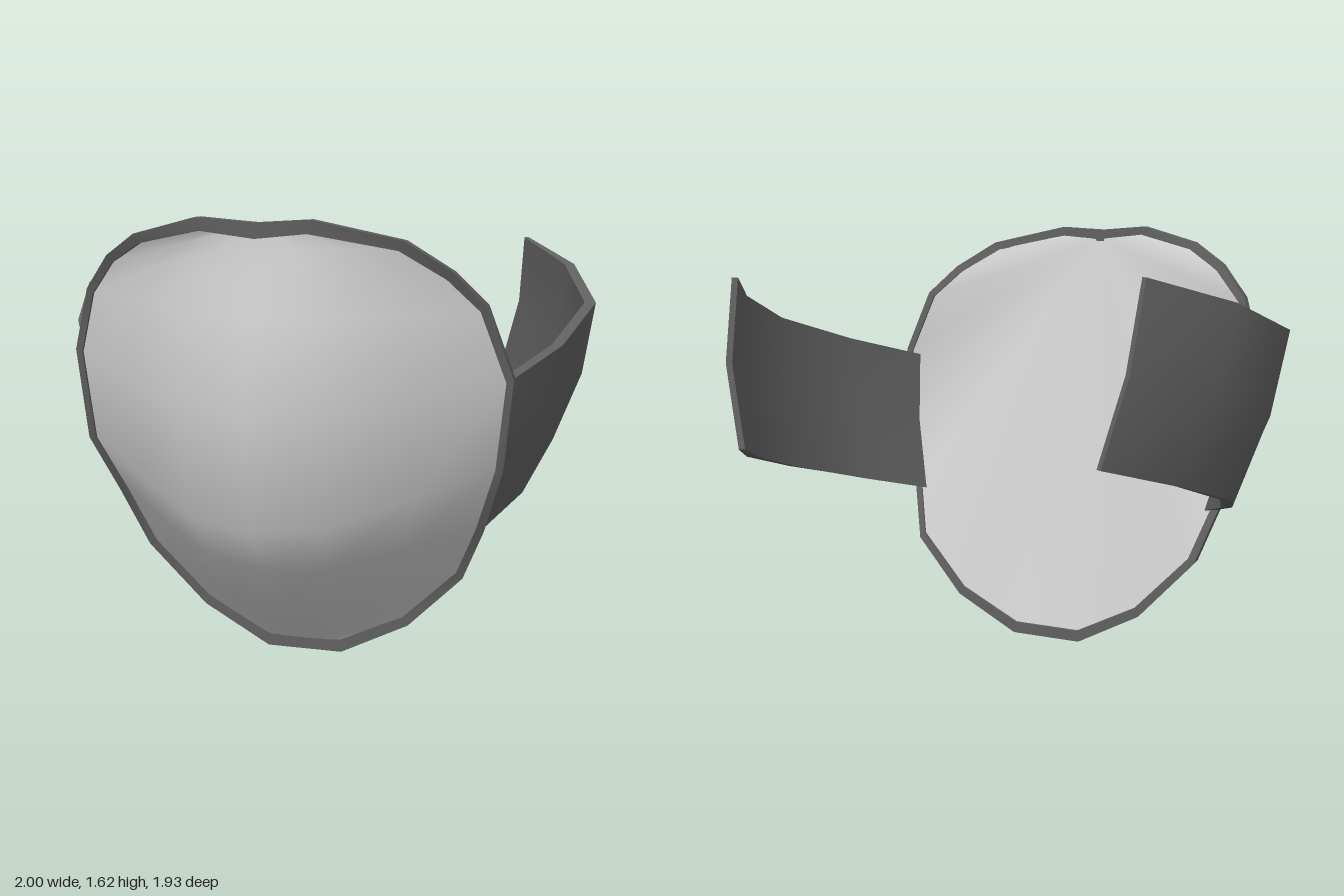
import * as THREE from 'three';
import { toCreasedNormals } from 'three/addons/utils/BufferGeometryUtils.js';

const shellMat = new THREE.MeshStandardMaterial({ color: 0xcccccc, side: THREE.DoubleSide });
const darkMat = new THREE.MeshStandardMaterial({ color: 0x606060 });

// Skin a row of closed cross-sections; open rows get end caps of paired points
function loft(sections, { ring = false, flip = false } = {}) {
  const pos = [];
  const quad = (a, b, c, d) => {
    const tris = flip ? [a, c, b, a, d, c] : [a, b, c, a, c, d];
    tris.forEach((p) => pos.push(...p));
  };
  const n = sections.length, m = sections[0].length;
  for (let i = 0; i < (ring ? n : n - 1); i++) {
    const s = sections[i], t = sections[(i + 1) % n];
    for (let j = 0; j < m; j++) {
      const k = (j + 1) % m;
      quad(s[j], s[k], t[k], t[j]);
    }
  }
  if (!ring) {
    const first = sections[0], last = sections[n - 1];
    for (let j = 0; j < m / 2 - 1; j++) {
      const o = m - 1 - j;
      quad(first[o], first[o - 1], first[j + 1], first[j]);
      quad(last[j], last[j + 1], last[o - 1], last[o]);
    }
  }
  const g = new THREE.BufferGeometry();
  g.setAttribute('position', new THREE.Float32BufferAttribute(pos, 3));
  return toCreasedNormals(g, 0.6);
}

function smoothSurface(pos, index) {
  const g = new THREE.BufferGeometry();
  g.setAttribute('position', new THREE.Float32BufferAttribute(pos, 3));
  g.setIndex(index);
  g.computeVertexNormals();
  return g;
}

function part(geometry, material, name) {
  const mesh = new THREE.Mesh(geometry, material);
  mesh.name = name;
  return mesh;
}

// Edge of the shell from top to bottom, on the model's left (+x) and right (-x)
const leftEdge = [
  [0.17, 1.615, 0.79], [0.44, 1.55, 0.69], [0.58, 1.45, 0.6], [0.68, 1.34, 0.53], [0.765, 1.1, 0.483],
  [0.74, 0.8, 0.475], [0.67, 0.55, 0.36], [0.59, 0.34, 0.24], [0.39, 0.13, 0.2], [0.14, 0, 0.19],
];
const rightEdge = [
  [-0.19, 1.62, 0.79], [-0.44, 1.56, 0.67], [-0.59, 1.48, 0.54], [-0.7, 1.36, 0.46], [-0.768, 1.14, 0.42],
  [-0.74, 0.82, 0.4], [-0.68, 0.6, 0.28], [-0.6, 0.37, 0.2], [-0.39, 0.14, 0.175], [-0.14, 0, 0.185],
];
// Whole outline, starting at the dip in the middle of the top
const outline = [[0, 1.605, 0.8], ...leftEdge, ...rightEdge.slice().reverse()];

// Height and depth of the shell's middle line at each row
const middle = [
  [1.585, 0.805], [1.52, 0.82], [1.44, 0.845], [1.32, 0.88], [1.03, 0.965],
  [0.65, 0.89], [0.49, 0.765], [0.33, 0.635], [0.16, 0.38], [0.04, 0.21],
];

// Point moved towards the centre of the outline
function inset([x, y, z], d) {
  const dx = -x, dy = 0.83 - y, l = Math.hypot(dx, dy);
  return [x + (dx / l) * d, y + (dy / l) * d, z];
}
const shellEdge = (p) => inset(p, 0.033 - 0.02 * Math.abs(p[0]));

// Domed shell: every row bulges from its two edges to the middle line
function shellGeometry() {
  const steps = [[-1, 0], [-0.65, 0.47], [-0.3, 0.89], [0, 1], [0.3, 0.89], [0.65, 0.47], [1, 0]];
  const pos = [], index = [], w = steps.length;
  middle.forEach(([my, mz], i) => {
    const L = shellEdge(leftEdge[i]), R = shellEdge(rightEdge[i]);
    for (const [u, f] of steps) {
      const t = (u + 1) / 2;
      const x = u < 0 ? -u * R[0] : u * L[0];
      const y = R[1] + (L[1] - R[1]) * t + f * (my - (L[1] + R[1]) / 2);
      const z = R[2] + (L[2] - R[2]) * t + f * (mz - (L[2] + R[2]) / 2);
      pos.push(x, y, z + 0.01 * (1 - f));
    }
  });
  for (let i = 0; i < middle.length - 1; i++) {
    for (let j = 0; j < w - 1; j++) {
      const a = i * w + j;
      index.push(a, a + w, a + 1, a + 1, a + w, a + w + 1);
    }
  }
  return smoothSurface(pos, index);
}

// Back panel: nearly flat fan from the top of the outline to the rest of it
function backPanelGeometry() {
  const pos = [], index = [];
  outline.forEach((p) => {
    const [x, y, z] = shellEdge(p);
    pos.push(x, y, z - 0.02);
  });
  for (let i = 1; i < outline.length - 1; i++) index.push(0, i, i + 1);
  return smoothSurface(pos, index);
}

// Rim: rectangular section carried round the whole outline, slimmer at the sides
function rimGeometry() {
  const sections = outline.map((p) => {
    const q = inset(p, 0.048 - 0.03 * Math.abs(p[0])), h = 0.027;
    return [
      [p[0], p[1], p[2] - h], [p[0], p[1], p[2] + h],
      [q[0], q[1], q[2] + h], [q[0], q[1], q[2] - h],
    ];
  });
  return loft(sections, { ring: true });
}

// Strap: outer top and bottom edges from front to back, bowed across its width
const strapTop = [[0.735, 1.08, 0.47], [0.9, 1.17, 0.17], [1, 1.28, -0.19], [0.905, 1.39, -0.555], [0.705, 1.475, -0.845]];
const strapBottom = [[0.645, 0.53, 0.335], [0.775, 0.613, 0.06], [0.86, 0.73, -0.33], [0.79, 0.84, -0.69], [0.617, 0.93, -0.97]];
const strapThickness = [0.04, 0.04, 0.04, 0.04, 0.02];

function strapGeometry(side) {
  const place = ([x, y, z], i) =>
    side > 0 ? [x, y, z] : [-x, y + 0.03, z - 0.055 + i * 0.0175];
  const sections = strapTop.map((t, i) => {
    const b = strapBottom[i], d = strapThickness[i];
    // thickness direction, square to the run of the strap
    const p = strapTop[Math.max(i - 1, 0)], n = strapTop[Math.min(i + 1, 4)];
    const dx = n[0] - p[0], dz = n[2] - p[2], l = Math.hypot(dx, dz);
    const nx = -dz / l, nz = dx / l;
    const mid = [(t[0] + b[0]) / 2 + nx * 0.03, (t[1] + b[1]) / 2, (t[2] + b[2]) / 2 + nz * 0.03];
    const outer = [t, mid, b];
    const inner = outer.map(([x, y, z]) => [x - nx * d, y, z - nz * d]).reverse();
    return [...outer, ...inner].map((q) => place(q, i));
  });
  return loft(sections, { flip: side < 0 });
}

export function createModel() {
  const model = new THREE.Group();
  model.name = 'faceGuard';
  model.add(part(shellGeometry(), shellMat, 'shell'));
  model.add(part(backPanelGeometry(), shellMat, 'backPanel'));
  model.add(part(rimGeometry(), darkMat, 'rim'));
  model.add(part(strapGeometry(1), darkMat, 'leftStrap'));
  model.add(part(strapGeometry(-1), darkMat, 'rightStrap'));
  return model;
}
